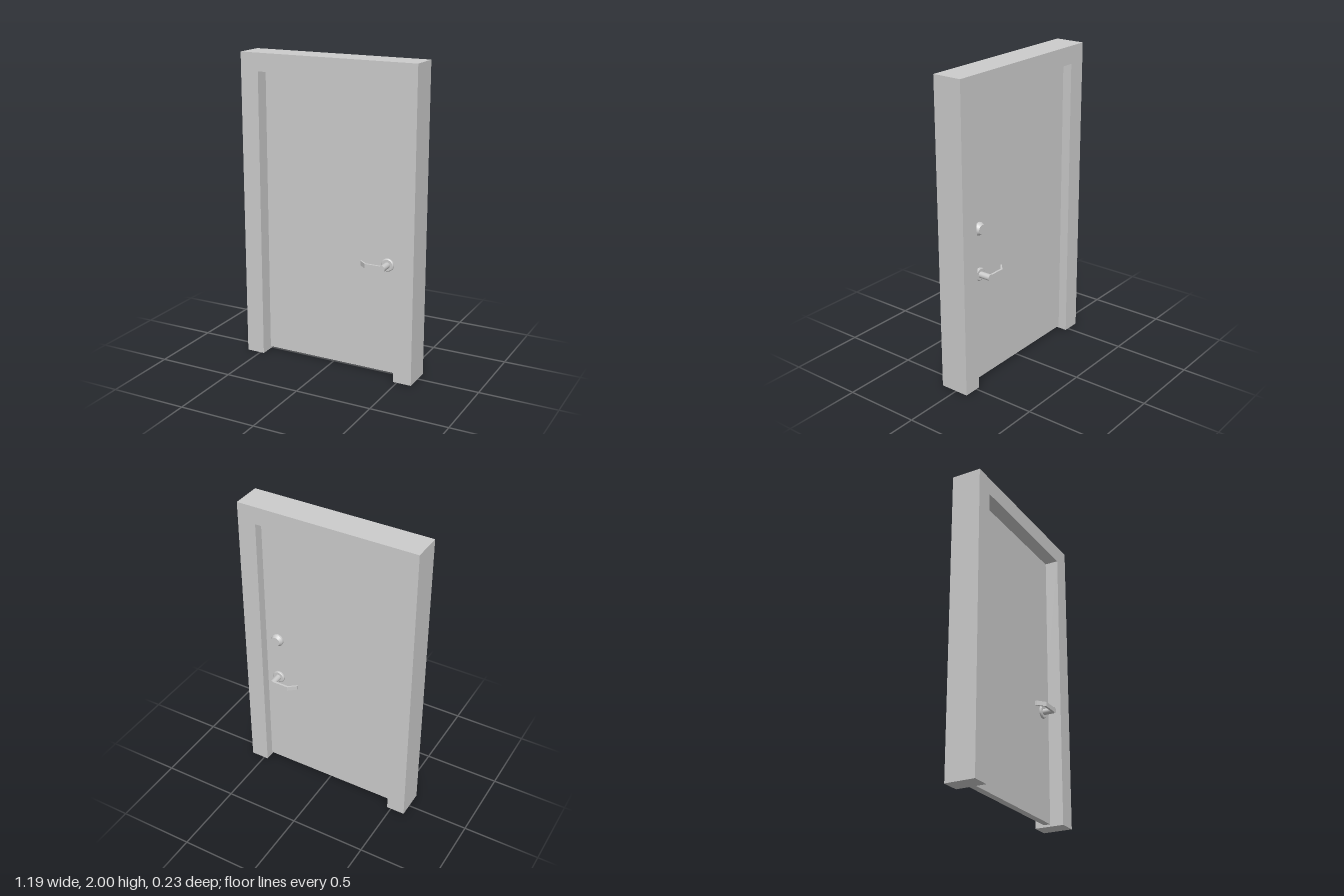
import * as THREE from 'three';

const material = new THREE.MeshStandardMaterial({ color: 0xcccccc });
const DOOR_FRONT = 0.02, DOOR_BACK = -0.025;

function addMesh(parent, name, geometry, x = 0, y = 0, z = 0) {
  const mesh = new THREE.Mesh(geometry, material);
  mesh.name = name;
  mesh.position.set(x, y, z);
  parent.add(mesh);
  return mesh;
}

// Turned part along +z, from [radius, height] points with hard edges between them
function turned(points) {
  const doubled = points.flatMap(([r, h], i) =>
    i > 0 && i < points.length - 1 ? [new THREE.Vector2(r, h), new THREE.Vector2(r, h)] : [new THREE.Vector2(r, h)]);
  return new THREE.LatheGeometry(doubled, 32).rotateX(Math.PI / 2);
}

function polygon(points) {
  return new THREE.Shape(points.map(([x, y]) => new THREE.Vector2(x, y)));
}

// Lever handle at the origin, standing out along +z, lever pointing to -x
function createHandle(name) {
  const handle = new THREE.Group();
  handle.name = name;
  addMesh(handle, 'rose', turned([[0.042, 0], [0.042, 0.008], [0.036, 0.013], [0, 0.013]]));
  addMesh(handle, 'spindle', turned([[0.02, 0.01], [0.02, 0.09], [0, 0.09]]));
  // Plan outline of the lever: straight grip with the tip bent back to the door
  const outline = polygon([
    [0, 0.075], [0, 0.09], [-0.115, 0.09], [-0.165, 0.047],
    [-0.165, 0.035], [-0.113, 0.077],
  ].reverse());
  const lever = new THREE.ExtrudeGeometry(outline, { depth: 0.03, bevelEnabled: false });
  lever.rotateX(Math.PI / 2).translate(0, 0.015, 0);
  addMesh(handle, 'lever', lever);
  return handle;
}

export function createModel() {
  const model = new THREE.Group();
  model.name = 'door';

  // Frame: two jambs and a head in one piece, open at the floor
  const frame = polygon([
    [-0.595, 0], [-0.473, 0], [-0.473, 1.885], [0.473, 1.885],
    [0.473, 0], [0.595, 0], [0.595, 2], [-0.595, 2],
  ]);
  addMesh(model, 'frame', new THREE.ExtrudeGeometry(frame, { depth: 0.195, bevelEnabled: false }), 0, 0, -0.085);

  // Door leaf, just clear of the floor
  addMesh(model, 'doorLeaf', new THREE.BoxGeometry(0.944, 1.868, DOOR_FRONT - DOOR_BACK),
    0, 0.949, (DOOR_FRONT + DOOR_BACK) / 2);

  // A lever handle on each face
  const front = createHandle('frontHandle');
  front.position.set(0.385, 0.735, DOOR_FRONT);
  const back = createHandle('backHandle');
  back.position.set(0.385, 0.735, DOOR_BACK);
  back.rotation.x = Math.PI;
  model.add(front, back);

  // Tapered deadbolt lock on the back only
  const lock = addMesh(model, 'deadbolt',
    turned([[0.042, 0], [0.042, 0.01], [0.03, 0.03], [0, 0.03]]), 0.385, 1.035, DOOR_BACK);
  lock.rotation.x = Math.PI;

  return model;
}
